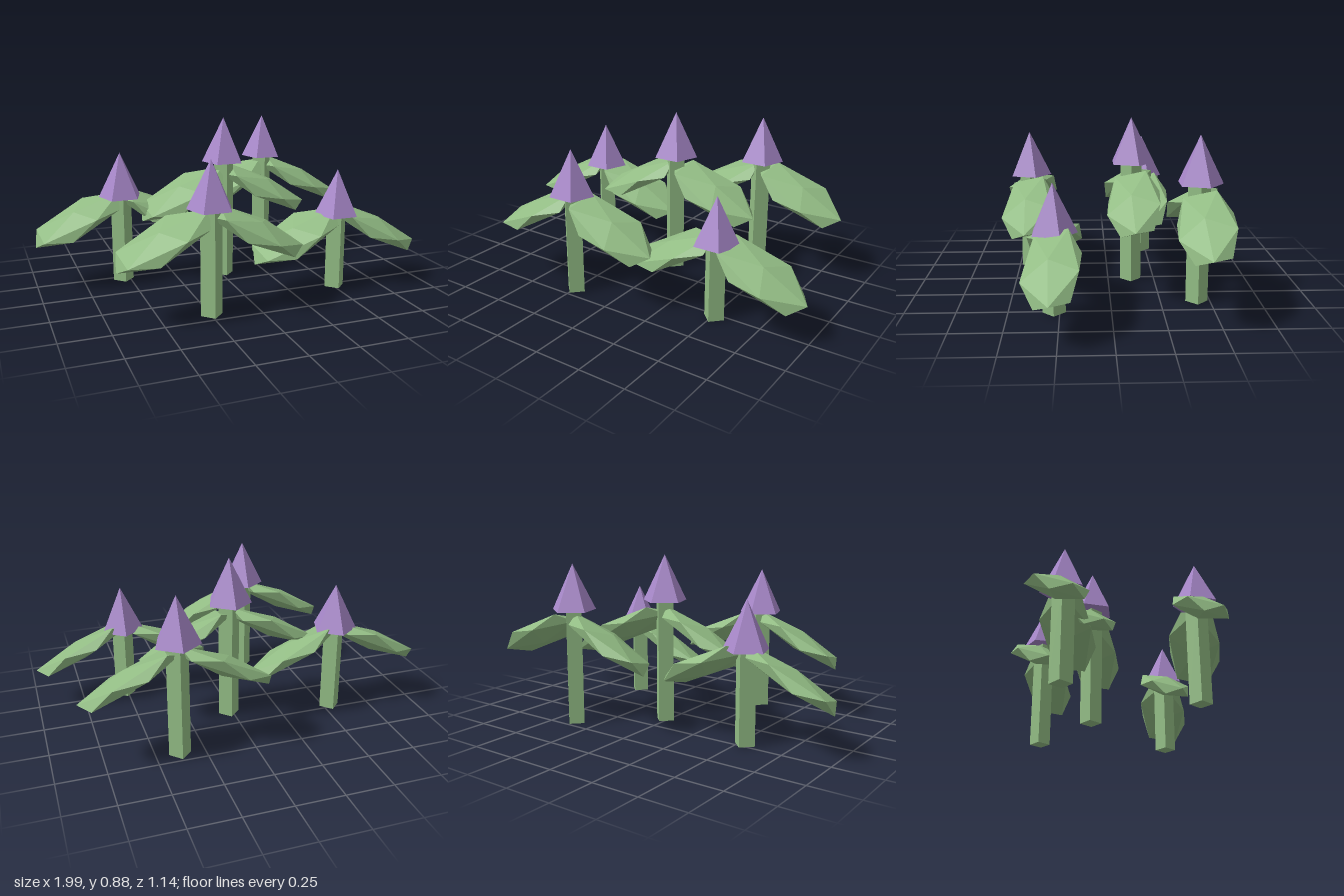
import * as THREE from 'three';

const green = new THREE.MeshStandardMaterial({ color: 0x92bc84, flatShading: true });
green.name = 'leaf green';
const purple = new THREE.MeshStandardMaterial({ color: 0xa888ca, flatShading: true });
purple.name = 'bud purple';

const BUD_HEIGHT = 0.24;
const LEAF_TILT = 0.45;
const LEAF_ROLL = 0.26;

// [x, z, stem height, leaf centre height]
const PLANTS = [
  [-0.535, -0.22, 0.47, 0.363],
  [-0.245, 0.43, 0.535, 0.402],
  [0.02, -0.122, 0.645, 0.48],
  [0.378, -0.433, 0.602, 0.45],
  [0.51, 0.277, 0.4, 0.305],
];

// Flattened icosahedron standing on a corner, long along x
function makeLeafGeometry() {
  const g = new THREE.IcosahedronGeometry(1, 0);
  g.rotateX(-Math.atan((1 + Math.sqrt(5)) / 2));
  g.rotateY(Math.PI / 2);
  g.scale(0.293, 0.053, 0.159);
  return g;
}

function addMesh(parent, name, geometry, material, x, y) {
  const mesh = new THREE.Mesh(geometry, material);
  mesh.name = name;
  mesh.position.set(x, y, 0);
  parent.add(mesh);
  return mesh;
}

export function createModel() {
  const model = new THREE.Group();
  model.name = 'flowerPatch';
  const leafGeometry = makeLeafGeometry();
  // Five-sided bud with one corner to the back
  const budGeometry = new THREE.ConeGeometry(0.118, BUD_HEIGHT, 5);
  budGeometry.rotateY(Math.PI);

  for (const [x, z, height, leafY] of PLANTS) {
    const plant = new THREE.Group();
    plant.name = 'flower';
    plant.position.set(x, 0, z);

    // Square stem set corner-on
    const stemGeometry = new THREE.CylinderGeometry(0.056, 0.056, height, 4);
    addMesh(plant, 'stem', stemGeometry, green, 0, height / 2);
    addMesh(plant, 'bud', budGeometry, purple, 0, height + BUD_HEIGHT / 2);

    // Two drooping leaves, one on each side
    for (const side of [1, -1]) {
      const name = side > 0 ? 'leftLeaf' : 'rightLeaf';
      const leaf = addMesh(plant, name, leafGeometry, green, side * 0.237, leafY);
      leaf.rotation.set(LEAF_ROLL, 0, -side * LEAF_TILT, 'ZYX');
    }
    model.add(plant);
  }
  return model;
}
